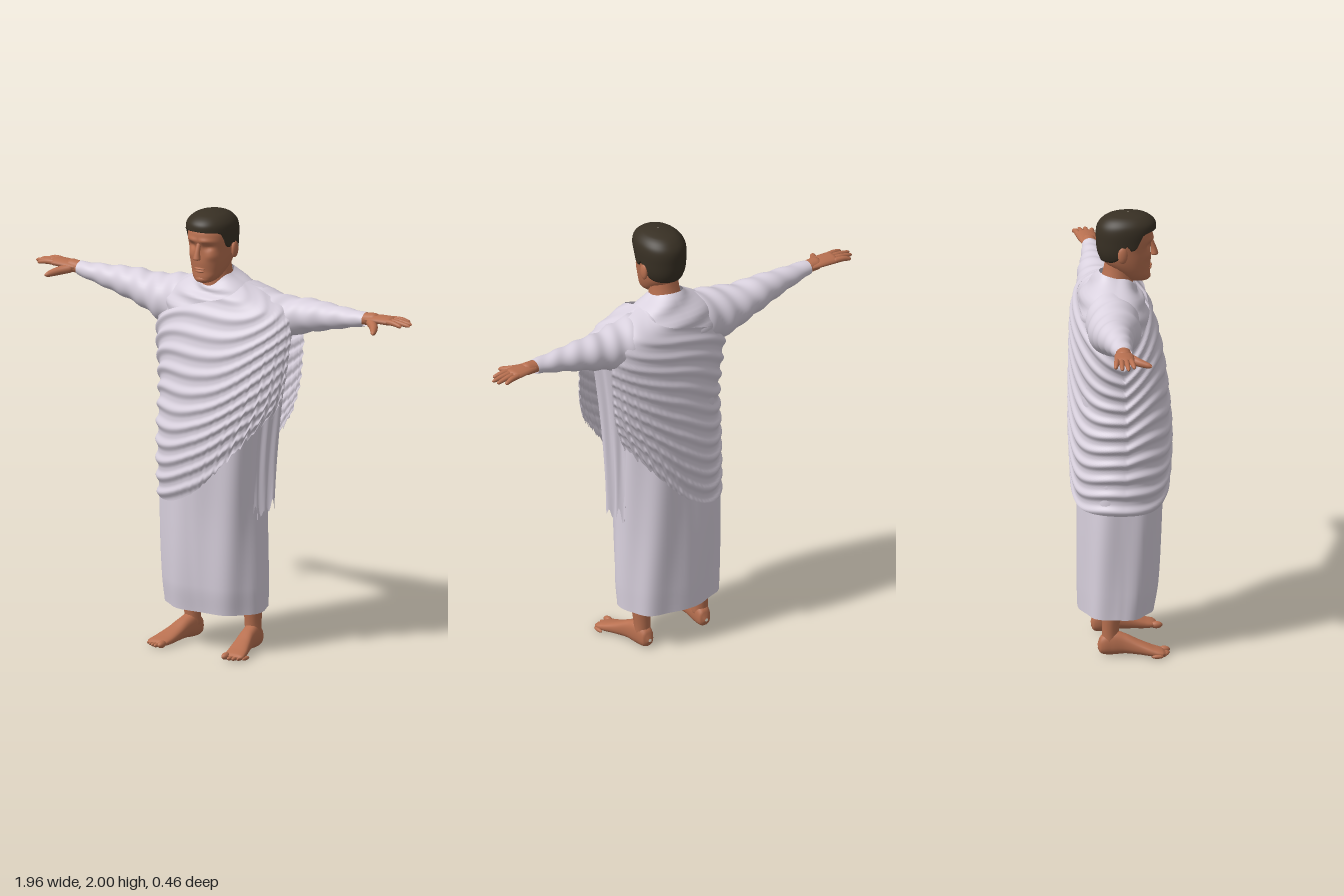
import * as THREE from 'three';
import { ParametricGeometry } from 'three/addons/geometries/ParametricGeometry.js';

const TAU = Math.PI * 2;
const { sin, cos, abs, sign, pow, max, min, exp, sqrt } = Math;

const cloth = new THREE.MeshStandardMaterial({ color: 0xd9d1de, side: THREE.DoubleSide });
cloth.name = 'cloth';
const skin = new THREE.MeshStandardMaterial({ color: 0xb87050 });
skin.name = 'skin';
const hairColor = new THREE.MeshStandardMaterial({ color: 0x383024 });
hairColor.name = 'hair';

// Smooth interpolation of table rows [key, a, b, ...]; returns [a, b, ...]
function sample(rows, key) {
  const n = rows.length;
  let i = 0;
  while (i < n - 2 && key > rows[i + 1][0]) i++;
  const a = rows[i], b = rows[i + 1], h = b[0] - a[0];
  const s = min(1, max(0, (key - a[0]) / h));
  const slope = (k, j) => {
    const p = rows[max(0, k - 1)], q = rows[min(n - 1, k + 1)];
    return (q[j] - p[j]) / (q[0] - p[0]);
  };
  return a.slice(1).map((_, c) => {
    const j = c + 1, d = b[j] - a[j], m0 = slope(i, j) * h, m1 = slope(i + 1, j) * h;
    return a[j] + s * (m0 + s * (3 * d - 2 * m0 - m1 + s * (m0 + m1 - 2 * d)));
  });
}

// Oval point from extents [xLeft, xRight, zFront, zBack], pushed out by grow
function oval([x1, x0, z1, z0], a, grow = 0, power = 1) {
  const c = sign(cos(a)) * pow(abs(cos(a)), power), s = sign(sin(a)) * pow(abs(sin(a)), power);
  return [(x1 + x0) / 2 + ((x1 - x0) / 2 + grow) * c, (z1 + z0) / 2 + ((z1 - z0) / 2 + grow) * s];
}

const surface = (fn, nu, nv) => new ParametricGeometry((u, v, t) => t.set(...fn(u, v)), nu, nv);

// Rounded tube with changing radius along a curve
function limb(points, radii, flat = 1) {
  const curve = new THREE.CatmullRomCurve3(points.map(p => new THREE.Vector3(...p)));
  const r = radii.map((v, i) => [i / (radii.length - 1), v]);
  return surface((u, v) => {
    const p = curve.getPoint(v), t = curve.getTangent(v);
    const ref = abs(t.y) > 0.8 ? new THREE.Vector3(0, 0, 1) : new THREE.Vector3(0, 1, 0);
    const b = t.clone().cross(ref).normalize(), n = b.clone().cross(t);
    const end = min(v, 1 - v) / 0.15;
    const R = sample(r, v)[0] * (end < 1 ? sqrt(max(0.0004, 1 - (1 - end) ** 2)) : 1);
    return p.addScaledVector(n, R * flat * cos(u * TAU)).addScaledVector(b, R * sin(u * TAU)).toArray();
  }, 14, 22);
}

function blob(x, y, z, rx, ry, rz) {
  return new THREE.SphereGeometry(1, 16, 12).scale(rx, ry, rz).translate(x, y, z);
}

export function createModel() {
  const model = new THREE.Group();
  const add = (name, geometry, material) => {
    const mesh = new THREE.Mesh(geometry, material);
    mesh.name = name;
    model.add(mesh);
  };

  // Long tunic, open at the hem, with a dipped collar
  const tunic = [
    [0.18, 0.23, -0.245, 0.135, -0.19], [0.3, 0.235, -0.25, 0.155, -0.195], [0.6, 0.235, -0.255, 0.17, -0.2],
    [1.0, 0.24, -0.245, 0.18, -0.2], [1.4, 0.25, -0.25, 0.15, -0.19], [1.52, 0.26, -0.255, 0.125, -0.19],
    [1.6, 0.24, -0.24, 0.1, -0.18], [1.66, 0.15, -0.15, 0.075, -0.14], [1.71, 0.075, -0.075, 0.06, -0.095],
  ];
  add('tunic', surface((u, v) => {
    const a = -u * TAU, y = 0.18 + 1.53 * v;
    const low = min(1, max(0, (1.45 - y) * 4));
    const fold = 0.006 * sin(7 * a + 3 * y) * low + 0.005 * sin(y * 75 + 3 * cos(a)) * (1 - low);
    const [x, z] = oval(sample(tunic, y), a, fold, 0.85);
    const collar = max(0, (y - 1.6) / 0.11);
    return [x, y - collar * (0.05 * pow(max(0, sin(a)), 3) - 0.02 * max(0, -sin(a))), z];
  }, 72, 110), cloth);

  // Great wrap: folds sweep from the left shoulder to the right hip
  const wrap = [
    [0.6, 0.25, -0.255, 0.175, -0.205], [0.8, 0.26, -0.255, 0.205, -0.215], [1.0, 0.33, -0.255, 0.215, -0.22],
    [1.2, 0.405, -0.255, 0.2, -0.215], [1.4, 0.43, -0.28, 0.17, -0.21], [1.5, 0.43, -0.28, 0.145, -0.205],
    [1.58, 0.39, -0.25, 0.12, -0.19], [1.63, 0.29, -0.2, 0.1, -0.17], [1.69, 0.12, -0.12, 0.07, -0.12],
  ];
  add('wrap', surface((u, v) => {
    const close = 1 - min(1, max(0, (v - 0.75) / 0.25));
    const a0 = 0.32 * close, a1 = TAU - 0.6 * close;
    const a = a1 + (a0 - a1) * u, k = (1 + cos(a)) / 2;
    const ragged = 0.022 * pow(k, 4) * (sin(a * 75) + sin(a * 43)) * (1 - v);
    const bottom = 0.67 + 0.53 * pow(k, 3) + ragged, top = 1.42 + 0.26 * pow(k, 0.45);
    const y = bottom + (top - bottom) * v;
    const wave = sin(TAU * (11 * v + 0.3 * sin(2 * a) + 0.25 * sin(3 * a + 5 * v)));
    const fold = (0.004 + 0.014 * pow(0.5 + 0.5 * wave, 1.5)) * (1 - 0.6 * k);
    const [x, z] = oval(sample(wrap, y), a, fold, 0.92);
    return [x, y, z];
  }, 130, 130), cloth);

  // Loose end of the wrap hanging below the left arm
  add('hangingEnd', surface((u, v) => {
    const bottom = 0.65 + 0.02 * sin(u * 22) + 0.025 * sin(u * 41);
    const y = bottom + (1.5 - bottom) * v;
    return [0.25 + 0.08 * v * v + 0.012 * sin(u * 14 + v * 2), y, 0.075 - (0.15 + 0.06 * v) * u];
  }, 40, 24), cloth);

  // Head with eye sockets, brow and cheeks shaped in
  const headRows = [
    [1.68, 0.012, 0.1, 0.06], [1.69, 0.04, 0.122, 0.03], [1.71, 0.06, 0.127, 0], [1.74, 0.075, 0.126, -0.04],
    [1.78, 0.087, 0.13, -0.08], [1.83, 0.095, 0.13, -0.098], [1.88, 0.1, 0.138, -0.103],
    [1.92, 0.098, 0.135, -0.1], [1.96, 0.08, 0.11, -0.08], [1.985, 0.03, 0.06, -0.03],
  ];
  add('head', surface((u, v) => {
    const a = -u * TAU, y = 1.68 + 0.305 * v, [r, zf, zb] = sample(headRows, y);
    let [x, z] = oval([r, -r, zf, zb], a, 0, 0.92);
    if (z > 0.04) {
      const spot = (cx, cy, w, h) => exp(-(((abs(x) - cx) / w) ** 2) - ((y - cy) / h) ** 2);
      z += 0.007 * spot(0.035, 1.882, 0.035, 0.012) - 0.014 * spot(0.04, 1.853, 0.022, 0.016)
        + 0.006 * spot(0.055, 1.81, 0.025, 0.02);
    }
    return [x, y, z];
  }, 64, 64), skin);
  add('nose', limb([[0, 1.875, 0.126], [0, 1.83, 0.143], [0, 1.793, 0.148]], [0.01, 0.012, 0.019]), skin);
  add('upperLip', blob(0, 1.752, 0.123, 0.028, 0.006, 0.012), skin);
  add('lowerLip', blob(0, 1.74, 0.122, 0.024, 0.007, 0.012), skin);
  add('chin', blob(0, 1.703, 0.108, 0.032, 0.018, 0.022), skin);
  add('neck', limb([[0, 1.55, -0.03], [0, 1.66, -0.022], [0, 1.74, -0.012], [0, 1.84, 0]],
    [0.08, 0.075, 0.066, 0.062]), skin);

  // Short hair with sideburns, tucked in along its lower edge
  const hairRows = [
    [1.76, 0.08, 0.12, -0.082], [1.82, 0.101, 0.135, -0.106], [1.88, 0.107, 0.146, -0.112],
    [1.93, 0.107, 0.154, -0.11], [1.96, 0.097, 0.147, -0.094], [1.985, 0.07, 0.115, -0.06],
    [1.996, 0.035, 0.075, -0.015], [2.0, 0.002, 0.032, 0.028],
  ];
  const hairline = [[-1, 1.765], [-0.35, 1.785], [0, 1.86], [0.15, 1.835], [0.35, 1.85], [0.5, 1.905], [1, 1.92]];
  add('hair', surface((u, v) => {
    const a = -u * TAU, low = sample(hairline, sin(a))[0];
    const y = 2 - (2 - low) * (1 - v) ** 2, [r, zf, zb] = sample(hairRows, y);
    const [x, z] = oval([r, -r, zf, zb], a, -0.025 * max(0, 1 - v / 0.04), 0.95);
    return [x, y, z];
  }, 72, 50), hairColor);

  // Sleeve rows: x, top, bottom, front, back
  const sleeve = [
    [0.12, 1.67, 1.42, 0.06, -0.17], [0.27, 1.645, 1.42, 0.06, -0.17], [0.36, 1.632, 1.455, 0.03, -0.16],
    [0.46, 1.637, 1.488, 0.01, -0.148], [0.6, 1.63, 1.525, -0.01, -0.12], [0.75, 1.623, 1.562, -0.025, -0.1],
  ];
  // Foot rows: z, centre x, half width, bottom, top
  const foot = [
    [-0.12, 0.155, 0.008, 0.03, 0.045], [-0.108, 0.156, 0.028, 0.006, 0.08], [-0.06, 0.16, 0.036, 0, 0.11],
    [0, 0.168, 0.037, 0.006, 0.095], [0.06, 0.18, 0.043, 0.004, 0.067], [0.12, 0.194, 0.049, 0, 0.043],
    [0.16, 0.203, 0.047, 0.002, 0.03], [0.175, 0.206, 0.03, 0.008, 0.02],
  ];

  for (const [side, s] of [['left', 1], ['right', -1]]) {
    add(side + 'Sleeve', surface((u, v) => {
      const a = s * u * TAU, x = 0.12 + 0.63 * v;
      const [t, b, f, k] = sample(sleeve, x);
      const fold = 0.005 * sin(x * 62 + 2.5 * sin(a)) * (1 - 0.7 * v);
      const [y, z] = oval([t, b, f, k], a, fold);
      return [s * x, y, z];
    }, 40, 70), cloth);

    // Ear
    add(side + 'Ear', blob(s * 0.102, 1.828, -0.003, 0.012, 0.038, 0.022), skin);

    // Wrist, palm, thumb and fingers
    add(side + 'Wrist', limb([[s * 0.62, 1.59, -0.065], [s * 0.72, 1.594, -0.063], [s * 0.82, 1.6, -0.067]],
      [0.032, 0.032, 0.034], 0.85), skin);
    add(side + 'Palm', limb([[s * 0.745, 1.597, -0.064], [s * 0.81, 1.602, -0.068], [s * 0.895, 1.602, -0.074]],
      [0.032, 0.043, 0.046], 0.42), skin);
    add(side + 'Thumb', limb([[s * 0.775, 1.592, -0.052], [s * 0.825, 1.58, -0.01], [s * 0.862, 1.567, 0.052]],
      [0.02, 0.019, 0.01]), skin);
    [[0.955, -0.035], [0.982, -0.064], [0.975, -0.091], [0.948, -0.119]].forEach(([tip, z], i) =>
      add(side + 'Finger' + (i + 1), limb([[s * 0.86, 1.603, -0.046 - i * 0.019],
        [s * 0.91, 1.603, (z - 0.046 - i * 0.019) / 2], [s * tip, 1.594, z]], [0.013, 0.012, 0.008]), skin));

    // Lower leg, foot and toes
    add(side + 'Leg', limb([[s * 0.158, 0.03, -0.065], [s * 0.158, 0.1, -0.064], [s * 0.16, 0.2, -0.058],
      [s * 0.145, 0.4, -0.045], [s * 0.13, 0.65, -0.02]], [0.038, 0.037, 0.045, 0.065, 0.075]), skin);
    add(side + 'Foot', surface((u, v) => {
      const a = u * TAU, z = -0.12 + 0.295 * v;
      const [c, w, b, t] = sample(foot, z);
      const [x, y] = oval([s * c + w, s * c - w, t, b], a, 0, 0.8);
      return [x, y, z];
    }, 28, 36), skin);
    for (let i = 0; i < 5; i++) {
      const r = i ? 0.0105 - i * 0.0004 : 0.016;
      add(side + 'Toe' + (i + 1),
        blob(s * (0.168 + i * 0.019 + (i ? 0.005 : 0)), r, 0.172 - i * i * 0.0022, r, r, 0.027), skin);
    }
  }
  return model;
}
